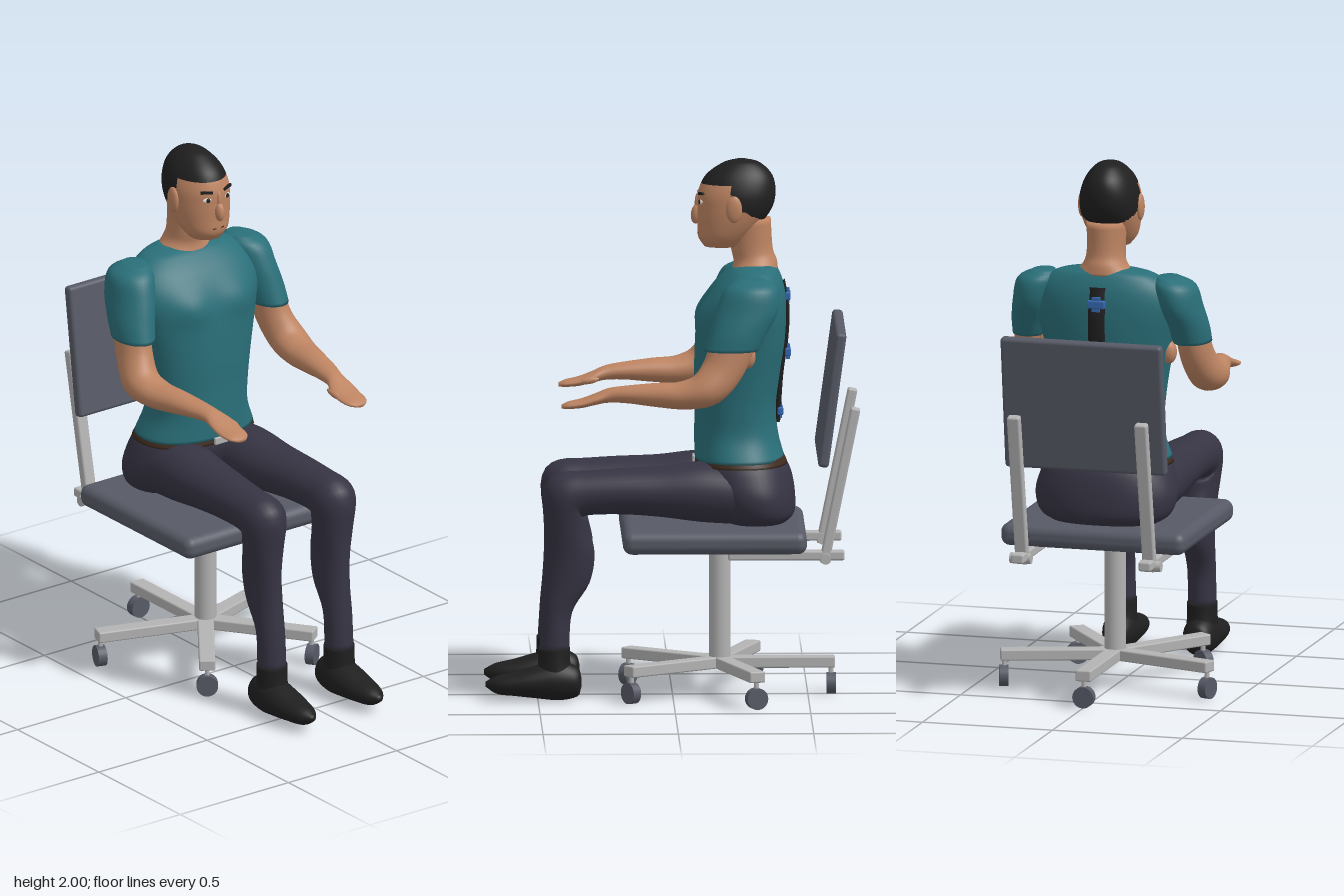
import * as THREE from 'three';
import { RoundedBoxGeometry } from 'three/addons/geometries/RoundedBoxGeometry.js';

const mat = (name, color) => Object.assign(new THREE.MeshStandardMaterial({ color }), { name });
const Q = Math.PI / 2;

// Smooth body through oval sections [x, y, z, halfWidth, halfDepth, tilt], running down (tilt 0) or forward (tilt Q).
// warp(v) reshapes vertices; pick(v) sends a face to the second material.
function loft(sections, { n = 32, steps = 5, power = 2, warp, pick } = {}) {
  const centres = new THREE.CatmullRomCurve3(sections.map(s => new THREE.Vector3(s[0], s[1], s[2])), false, 'catmullrom');
  const sizes = new THREE.CatmullRomCurve3(sections.map(s => new THREE.Vector3(s[3], s[4], s[5] || 0)), false, 'catmullrom');
  const rows = (sections.length - 1) * steps, pts = [], faces = [[], []];
  const bend = (c, e = 2 / power) => Math.sign(c) * Math.abs(c) ** e;
  for (let j = 0; j <= rows; j++) {
    const c = centres.getPoint(j / rows), s = sizes.getPoint(j / rows);
    for (let i = 0; i < n; i++) {
      const a = i / n * Math.PI * 2, v = bend(Math.sin(a)) * s.y;
      const p = new THREE.Vector3(c.x + bend(Math.cos(a)) * s.x, c.y + v * Math.sin(s.z), c.z + v * Math.cos(s.z));
      if (warp) warp(p);
      pts.push(p);
    }
  }
  const first = pts.push(centres.getPoint(0)) - 1, last = pts.push(centres.getPoint(1)) - 1;
  const face = (a, b, c) => {
    const mid = pts[a].clone().add(pts[b]).add(pts[c]).divideScalar(3);
    faces[pick && pick(mid) ? 1 : 0].push(a, b, c);
  };
  for (let i = 0; i < n; i++) {
    const k = (i + 1) % n;
    face(first, k, i);
    for (let j = 0; j < rows; j++) {
      const a = j * n + i, b = j * n + k;
      face(a, b, a + n);
      face(b, b + n, a + n);
    }
    face(last, rows * n + i, rows * n + k);
  }
  const g = new THREE.BufferGeometry().setFromPoints(pts);
  g.setIndex([...faces[0], ...faces[1]]);
  if (pick) {
    g.addGroup(0, faces[0].length, 0);
    g.addGroup(faces[0].length, faces[1].length, 1);
  }
  g.computeVertexNormals();
  return g;
}

export function createModel() {
  const root = new THREE.Group();
  const skin = mat('skin', 0xbd8462), teal = mat('tealShirt', 0x2a6f79), navy = mat('trousers', 0x363443);
  const black = mat('black', 0x1f1f1f), pad = mat('greyPad', 0x575a66), metal = mat('metal', 0xb3b3b3);
  const blue = mat('blue', 0x3568b0), brown = mat('brown', 0x3f2c1e), white = mat('eyeWhite', 0xe4e0da);

  const add = (name, geo, m, x = 0, y = 0, z = 0, rx = 0, ry = 0, rz = 0, parent = root) => {
    const mesh = new THREE.Mesh(geo, m);
    mesh.name = name;
    mesh.position.set(x, y, z);
    mesh.rotation.set(rx, ry, rz);
    parent.add(mesh);
    return mesh;
  };
  const box = (w, h, d) => new THREE.BoxGeometry(w, h, d);
  const ball = (a, b, c) => new THREE.SphereGeometry(1, 24, 16).scale(a, b, c);
  const mirror = (sections, s) => sections.map(([x, ...rest]) => [x * s, ...rest]);

  // Chair
  add('seat', new RoundedBoxGeometry(0.71, 0.085, 0.68, 4, 0.035), pad, 0, 0.612, -0.15);
  add('backrest', new RoundedBoxGeometry(0.62, 0.505, 0.04, 3, 0.014), pad, 0, 1.14, -0.584, -0.135);
  add('post', new THREE.CylinderGeometry(0.04, 0.04, 0.44, 32), metal, 0, 0.335, -0.175);
  for (const s of [1, -1]) {
    add('backSupport', new RoundedBoxGeometry(0.048, 0.59, 0.036, 2, 0.008), metal, s * 0.245, 0.815, -0.613, -0.2);
    add('seatRail', new RoundedBoxGeometry(0.048, 0.036, 0.43, 2, 0.008), metal, s * 0.245, 0.555, -0.415);
    add('supportBolt', new THREE.CylinderGeometry(0.02, 0.02, 0.08, 20), metal, s * 0.25, 0.545, -0.56, 0, 0, Q);
  }

  // Five-legged base, one leg straight back
  for (let i = 0; i < 5; i++) {
    const leg = new THREE.Group();
    leg.name = 'baseLeg';
    leg.position.set(0, 0, -0.175);
    leg.rotation.y = Math.PI + i * Math.PI * 0.4;
    root.add(leg);
    add('spoke', new RoundedBoxGeometry(0.06, 0.042, 0.425, 2, 0.006), metal, 0, 0.122, 0.2125, 0, 0, 0, leg);
    add('castorStem', new THREE.CylinderGeometry(0.009, 0.009, 0.06, 12), metal, 0, 0.08, 0.41, 0, 0, 0, leg);
    add('castor', new THREE.CylinderGeometry(0.04, 0.04, 0.034, 24), pad, 0, 0.041, 0.412, Q, 0, 0, leg);
  }

  // Shirt body with chest bulges
  const chest = p => {
    if (p.z < -0.2) return;
    const d = ((Math.abs(p.x) - 0.11) / 0.085) ** 2 + ((p.y - 1.42) / 0.065) ** 2;
    p.z += 0.022 * Math.exp(-d);
  };
  add('shirtBody', loft([
    [0, 1.61, -0.31, 0.1, 0.06], [0, 1.588, -0.3, 0.19, 0.09], [0, 1.53, -0.282, 0.255, 0.13],
    [0, 1.45, -0.265, 0.275, 0.155], [0, 1.33, -0.25, 0.248, 0.165], [0, 1.2, -0.238, 0.22, 0.158],
    [0, 1.08, -0.232, 0.203, 0.15], [0, 0.98, -0.235, 0.2, 0.155], [0, 0.888, -0.248, 0.235, 0.166],
  ], { n: 64, steps: 8, power: 2.25, warp: chest }), teal);

  // Hips and belt
  add('hips', loft([
    [0, 0.895, -0.248, 0.222, 0.158], [0, 0.84, -0.262, 0.248, 0.175], [0, 0.76, -0.285, 0.268, 0.167],
    [0, 0.685, -0.3, 0.245, 0.15], [0, 0.645, -0.31, 0.18, 0.1],
  ], { n: 48, power: 2.2 }), navy);
  add('belt', loft([[0, 0.9, -0.248, 0.227, 0.163], [0, 0.87, -0.252, 0.241, 0.172]], { n: 48, power: 2.25 }), brown);
  add('buckle', new RoundedBoxGeometry(0.06, 0.028, 0.012, 2, 0.004), metal, 0, 0.882, -0.079);

  // Spine strap with three clips
  const strap = new THREE.CatmullRomCurve3([[1.55, -0.405], [1.45, -0.422], [1.33, -0.418], [1.2, -0.4], [1.02, -0.388]]
    .map(([y, z]) => new THREE.Vector3(0, y, z)));
  add('spineStrap', new THREE.TubeGeometry(strap, 24, 0.01, 8).scale(3.2, 1, 1), black);
  for (const [y, z] of [[1.49, -0.425], [1.28, -0.426], [1.06, -0.398]]) {
    add('clip', new RoundedBoxGeometry(0.068, 0.03, 0.022, 2, 0.005), blue, 0, y, z);
    add('clipTab', box(0.03, 0.055, 0.014), blue, 0, y, z);
  }

  // Head with close-cropped hair, and neck
  const hair = p => p.y > (p.z > -0.215 ? 1.912 : 1.84 + (p.z + 0.215) * 0.55);
  add('head', loft([
    [0, 2, -0.255, 0.012, 0.015], [0, 1.985, -0.255, 0.048, 0.068], [0, 1.94, -0.246, 0.086, 0.122],
    [0, 1.88, -0.238, 0.108, 0.143], [0, 1.82, -0.23, 0.111, 0.139], [0, 1.76, -0.21, 0.103, 0.118],
    [0, 1.71, -0.188, 0.087, 0.093], [0, 1.675, -0.182, 0.06, 0.065],
  ], { n: 72, steps: 10, power: 2.1, pick: hair }), [skin, black]);
  add('neck', loft([
    [0, 1.78, -0.285, 0.075, 0.078], [0, 1.67, -0.293, 0.072, 0.077],
    [0, 1.625, -0.305, 0.082, 0.08], [0, 1.59, -0.305, 0.115, 0.085],
  ]), skin);
  add('nose', ball(0.018, 0.038, 0.022), skin, 0, 1.795, -0.09, -0.15);
  add('noseBridge', ball(0.011, 0.04, 0.014), skin, 0, 1.835, -0.096);
  add('mouth', box(0.05, 0.004, 0.008), brown, 0, 1.727, -0.097);

  for (const s of [1, -1]) {
    // Face details
    add('ear', ball(0.014, 0.05, 0.03), skin, s * 0.112, 1.825, -0.225);
    add('eye', ball(0.018, 0.009, 0.005), white, s * 0.045, 1.845, -0.103, 0, s * 0.3);
    add('iris', ball(0.008, 0.009, 0.004), black, s * 0.044, 1.845, -0.099, 0, s * 0.3);
    add('eyebrow', box(0.046, 0.01, 0.009), black, s * 0.047, 1.876, -0.105, 0, s * 0.3, s * 0.1);

    // Arm
    add('sleeve', loft(mirror([
      [0.24, 1.585, -0.29, 0.04, 0.05], [0.262, 1.55, -0.285, 0.078, 0.098], [0.28, 1.47, -0.268, 0.08, 0.115],
      [0.298, 1.39, -0.235, 0.077, 0.106], [0.308, 1.328, -0.21, 0.07, 0.1],
    ], s)), teal);
    add('arm', loft(mirror([
      [0.308, 1.37, -0.22, 0.06, 0.085], [0.32, 1.27, -0.185, 0.063, 0.078, 0.3], [0.338, 1.19, -0.12, 0.07, 0.068, 0.8],
      [0.33, 1.165, -0.03, 0.067, 0.052, 1.4], [0.314, 1.165, 0.07, 0.056, 0.044, Q], [0.298, 1.165, 0.17, 0.046, 0.033, Q],
      [0.285, 1.16, 0.24, 0.038, 0.027, Q], [0.277, 1.145, 0.29, 0.05, 0.021, Q], [0.275, 1.13, 0.34, 0.052, 0.017, Q],
      [0.275, 1.122, 0.39, 0.044, 0.013, Q], [0.275, 1.117, 0.415, 0.02, 0.007, Q],
    ], s)), skin);
    add('thumb', ball(0.014, 0.013, 0.04), skin, s * 0.234, 1.137, 0.305, 0.15);
    add('armpit', ball(0.03, 0.045, 0.03), skin, s * 0.235, 1.295, -0.272);

    // Leg
    add('leg', loft(mirror([
      [0.135, 0.765, -0.26, 0.118, 0.11, Q], [0.14, 0.778, -0.1, 0.118, 0.112, Q], [0.146, 0.78, 0.05, 0.107, 0.094, Q],
      [0.155, 0.782, 0.2, 0.093, 0.085, Q], [0.16, 0.775, 0.33, 0.086, 0.084, Q], [0.16, 0.752, 0.395, 0.086, 0.1, Q / 2],
      [0.16, 0.66, 0.393, 0.074, 0.082, 0.08], [0.158, 0.55, 0.381, 0.062, 0.09], [0.155, 0.44, 0.393, 0.058, 0.083],
      [0.155, 0.33, 0.43, 0.053, 0.056], [0.155, 0.185, 0.44, 0.053, 0.055],
    ], s)), navy);
    add('sock', loft(mirror([[0.155, 0.2, 0.44, 0.056, 0.058], [0.155, 0.14, 0.44, 0.057, 0.06], [0.155, 0.07, 0.435, 0.06, 0.07]], s)), black);
    add('shoe', loft(mirror([
      [0.155, 0.07, 0.34, 0.015, 0.02, Q], [0.155, 0.072, 0.355, 0.048, 0.055, Q], [0.155, 0.077, 0.42, 0.066, 0.074, Q],
      [0.155, 0.072, 0.5, 0.069, 0.062, Q], [0.155, 0.065, 0.58, 0.062, 0.046, Q], [0.155, 0.061, 0.65, 0.044, 0.034, Q],
      [0.155, 0.063, 0.693, 0.012, 0.01, Q],
    ], s)), black);
  }
  return root;
}
